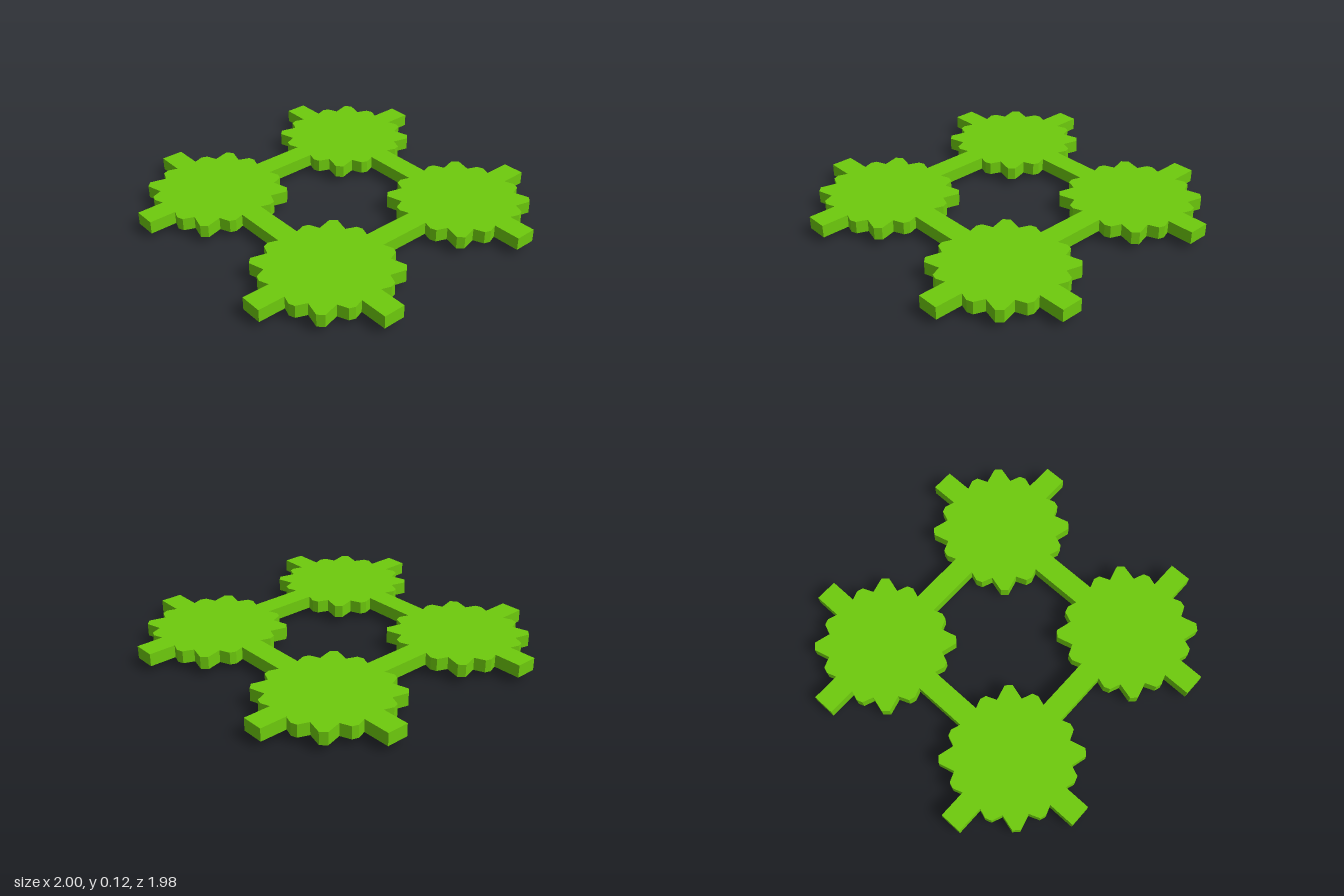
import * as THREE from 'three';

const CENTER_X = 0.5, CENTER_Z = 0.495;
const BOTTOM = 0.04, THICKNESS = 0.075;

// Half of one quadrant of the toothed outline, from an arm to the diagonal.
const octant = [
  [0.065, 0.5], [0.065, 0.335], [0.12, 0.354], [0.155, 0.342], [0.18, 0.28], [0.273, 0.305],
];

// Mirror the octant across the diagonal, then turn it through four quadrants.
function gearShape() {
  const quadrant = [...octant, ...octant.map(([x, y]) => [y, x]).reverse()];
  const points = [];
  for (let q = 0; q < 4; q++) {
    for (const [x, y] of quadrant) {
      const p = new THREE.Vector2(x, y).rotateAround(new THREE.Vector2(), -q * Math.PI / 2);
      p.y = THREE.MathUtils.clamp(p.y, -CENTER_Z, CENTER_Z);
      points.push(p);
    }
  }
  return new THREE.Shape(points.reverse());
}

export function createModel() {
  const model = new THREE.Group();
  model.name = 'linkedGears';
  const green = new THREE.MeshStandardMaterial({ color: 0x6ecb0d, flatShading: true });

  // Flat toothed plate with four connecting arms
  const plateGeometry = new THREE.ExtrudeGeometry(gearShape(), { depth: THICKNESS, bevelEnabled: false });
  plateGeometry.rotateX(-Math.PI / 2).translate(0, BOTTOM, 0);

  // Tapered boss under the plate with a shallow dimple in its foot
  const bossProfile = [[0, 0.01], [0.045, 0.007], [0.065, 0], [0.125, 0], [0.19, BOTTOM]]
    .map(([r, y]) => new THREE.Vector2(r, y));
  const bossGeometry = new THREE.LatheGeometry(bossProfile, 16);

  for (const sx of [-1, 1]) {
    for (const sz of [-1, 1]) {
      const gear = new THREE.Group();
      gear.name = `${sz > 0 ? 'front' : 'back'}${sx > 0 ? 'Left' : 'Right'}Gear`;
      const plate = new THREE.Mesh(plateGeometry, green);
      plate.name = 'toothedPlate';
      const boss = new THREE.Mesh(bossGeometry, green);
      boss.name = 'boss';
      gear.add(plate, boss);
      gear.position.set(sx * CENTER_X, 0, sz * CENTER_Z);
      model.add(gear);
    }
  }
  return model;
}
